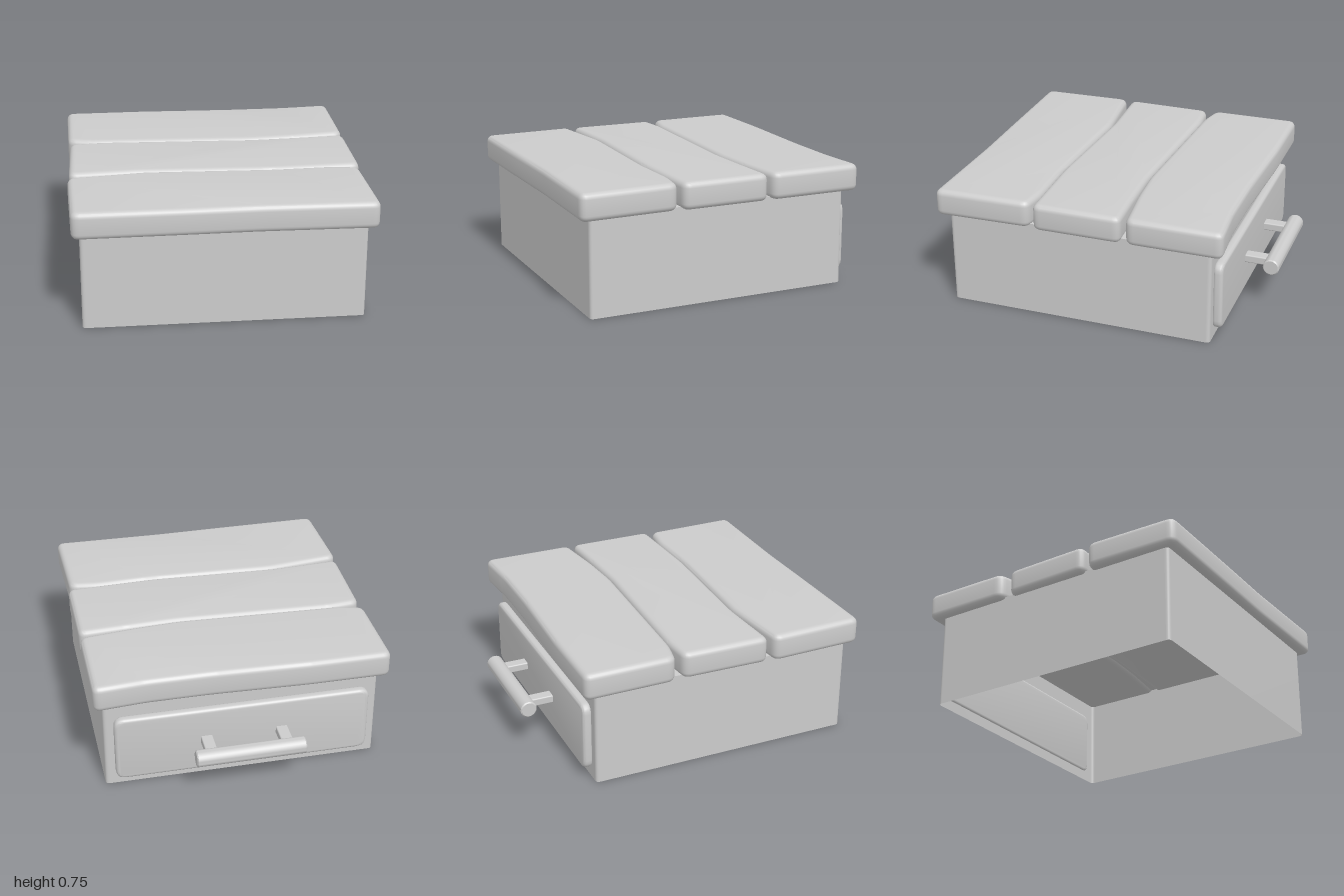
import * as THREE from 'three';
import { toCreasedNormals } from 'three/addons/utils/BufferGeometryUtils.js';
import { RoundedBoxGeometry } from 'three/addons/geometries/RoundedBoxGeometry.js';

const material = new THREE.MeshStandardMaterial({ color: 0xcccccc });
const thinMaterial = new THREE.MeshStandardMaterial({ color: 0xcccccc, side: THREE.DoubleSide });

function add(parent, name, geometry, mat = material) {
  const mesh = new THREE.Mesh(geometry, mat);
  mesh.name = name;
  parent.add(mesh);
  return mesh;
}

// Closed outline through [x, y] points with every corner rounded off by radius r
function roundedShape(points, r) {
  const pts = points.map(([x, y]) => new THREE.Vector2(x, y));
  const shape = new THREE.Shape();
  pts.forEach((p, i) => {
    const prev = pts[(i + pts.length - 1) % pts.length];
    const next = pts[(i + 1) % pts.length];
    const toward = (q) => p.clone().add(q.clone().sub(p).setLength(r));
    const a = toward(prev), b = toward(next);
    if (i === 0) shape.moveTo(a.x, a.y);
    else shape.lineTo(a.x, a.y);
    shape.quadraticCurveTo(p.x, p.y, b.x, b.y);
  });
  shape.closePath();
  return shape;
}

const rectangle = (x0, y0, x1, y1) => [[x0, y0], [x1, y0], [x1, y1], [x0, y1]];

// Slab of a given thickness whose rounded edges stay inside the outline
function slab(shape, thickness, bevel) {
  const geometry = new THREE.ExtrudeGeometry(shape, {
    depth: thickness - 2 * bevel, curveSegments: 5, steps: 1,
    bevelEnabled: true, bevelSize: bevel, bevelThickness: bevel,
    bevelOffset: -bevel, bevelSegments: 5,
  });
  geometry.translate(0, 0, bevel);
  return toCreasedNormals(geometry, 0.6);
}

export function createModel() {
  const model = new THREE.Group();
  model.name = 'drawerBox';

  // Body: thin walls with rounded upright edges, open underneath
  const body = new THREE.Group();
  body.name = 'body';
  model.add(body);
  const bodyHeight = 0.6;
  const bodyShape = roundedShape(rectangle(-0.84, -0.93, 0.84, 0.72), 0.025);
  const outline = bodyShape.getPoints(5);
  const walls = new THREE.PlaneGeometry(1, 1, outline.length - 1, 1);
  const pos = walls.attributes.position;
  for (let i = 0; i < pos.count; i++) {
    const p = outline[i % outline.length];
    pos.setXYZ(i, p.x, i < outline.length ? bodyHeight : 0, -p.y);
  }
  walls.computeVertexNormals();
  add(body, 'walls', walls, thinMaterial);
  const lid = new THREE.ShapeGeometry(bodyShape, 5);
  lid.rotateX(-Math.PI / 2).translate(0, bodyHeight, 0);
  add(body, 'bodyTop', lid, thinMaterial);

  // Top planks: uneven outlines as [x, z], front edge left to right, then back edge
  const planks = {
    frontPlank: [[-0.885, 0.995], [-0.2, 0.99], [0.2, 0.985], [0.895, 0.998],
      [0.88, 0.4], [0.7, 0.375], [0.35, 0.387], [-0.43, 0.355], [-0.9, 0.41]],
    middlePlank: [[-0.89, 0.372], [-0.45, 0.35], [0.33, 0.386], [0.895, 0.368],
      [0.895, -0.182], [0.6, -0.165], [0.28, -0.152], [-0.68, -0.196], [-0.88, -0.178]],
    backPlank: [[-0.89, -0.235], [-0.73, -0.198], [0.28, -0.155], [0.55, -0.172], [0.895, -0.215],
      [0.895, -0.8], [0.58, -0.775], [0.2, -0.775], [-0.4, -0.797], [-0.895, -0.797]],
  };
  const top = new THREE.Group();
  top.name = 'top';
  model.add(top);
  for (const [name, points] of Object.entries(planks)) {
    const shape = roundedShape(points.map(([x, z]) => [x, -z]), 0.05);
    add(top, name, slab(shape, 0.165, 0.035).rotateX(-Math.PI / 2)).position.y = 0.586;
  }

  // Drawer front on the back side
  const drawer = new THREE.Group();
  drawer.name = 'drawer';
  model.add(drawer);
  const panel = slab(roundedShape(rectangle(-0.78, 0.06, 0.78, 0.49), 0.06), 0.06, 0.022);
  add(drawer, 'drawerFront', panel.rotateY(Math.PI)).position.z = -0.712;

  // Handle: round bar on two square posts
  const r = 0.051, half = 0.332, c = 0.007;
  const profile = [[0, -half], [r - c, -half], [r, c - half], [r, half - c], [r - c, half], [0, half]]
    .map(([x, y]) => new THREE.Vector2(x, y));
  const bar = toCreasedNormals(new THREE.LatheGeometry(profile, 32), 0.5);
  add(drawer, 'handleBar', bar.rotateZ(Math.PI / 2)).position.set(-0.004, 0.28, -0.949);
  for (const side of [-1, 1]) {
    const post = new RoundedBoxGeometry(0.072, 0.05, 0.19, 2, 0.008);
    add(drawer, 'handlePost', post).position.set(side * 0.231 - 0.004, 0.28, -0.85);
  }

  return model;
}
